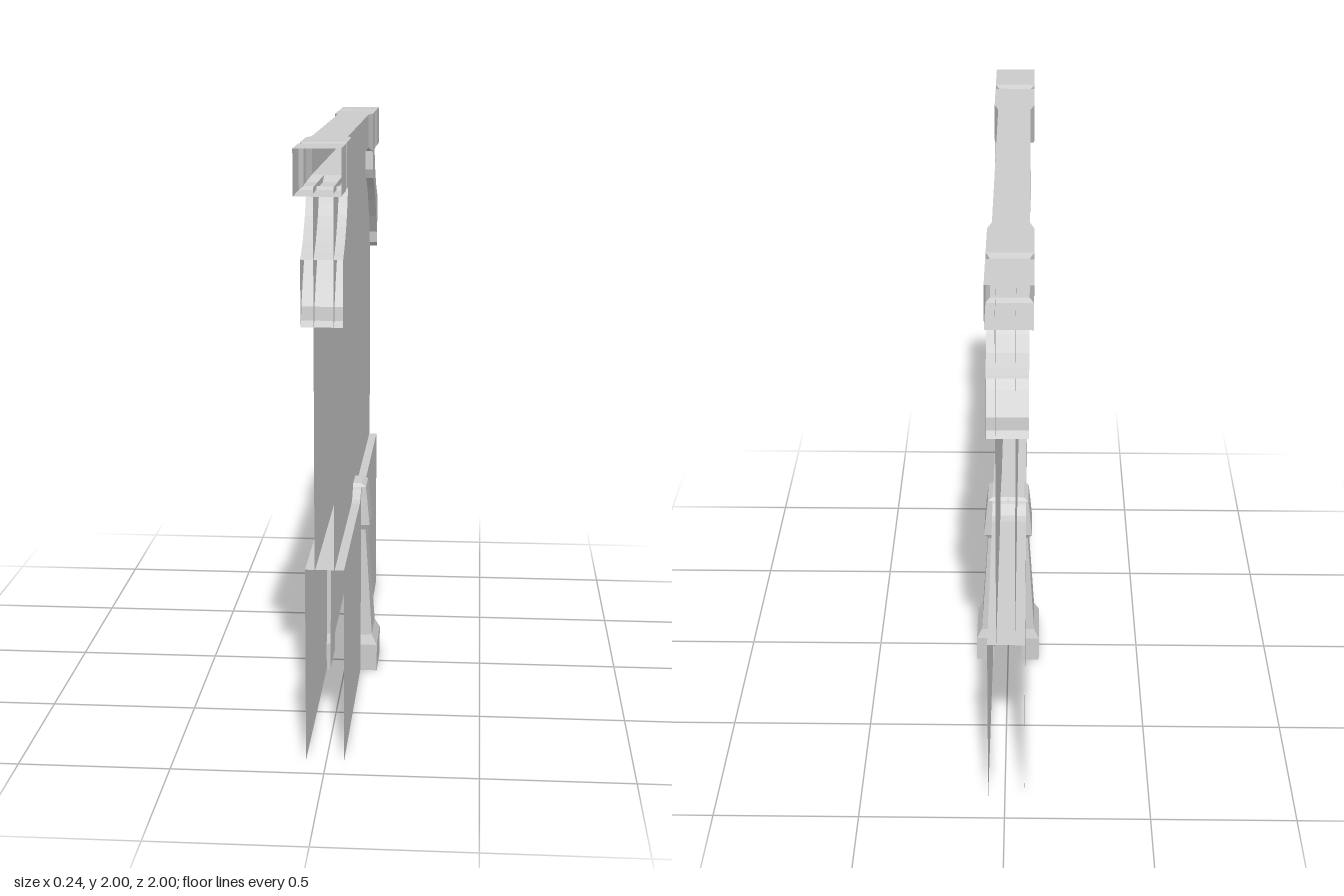
import * as THREE from 'three';

const material = new THREE.MeshStandardMaterial({ color: 0xcccccc, flatShading: true, side: THREE.DoubleSide });

// Skin joining successive cross-sections; each section is a list of [x, y, z]
function loft(name, rings, closed = true, capEnd = false) {
  const n = rings[0].length;
  const index = [];
  for (let r = 0; r < rings.length - 1; r++) {
    for (let i = 0; i < (closed ? n : n - 1); i++) {
      const j = (i + 1) % n;
      const a = r * n + i, b = r * n + j, c = a + n, d = b + n;
      index.push(a, b, d, a, d, c);
    }
  }
  if (capEnd) {
    const e = (rings.length - 1) * n;
    index.push(e, e + 1, e + 2, e, e + 2, e + 3);
  }
  const indexed = new THREE.BufferGeometry();
  indexed.setAttribute('position', new THREE.Float32BufferAttribute(rings.flat(2), 3));
  indexed.setIndex(index);
  const geometry = indexed.toNonIndexed();
  geometry.computeVertexNormals();
  const mesh = new THREE.Mesh(geometry, material);
  mesh.name = name;
  return mesh;
}

// Run a half profile from +z to -z
const mirrorZ = (half) => [...half, ...half.slice().reverse().map(([z, ...rest]) => [-z, ...rest])];

export function createModel() {
  const model = new THREE.Group();
  model.name = 'wallSection';

  // Hollow top beam: z, inset from sides, bottom, top
  const beam = mirrorZ([
    [1, 0, 1.857, 2], [0.815, 0, 1.857, 2], [0.797, 0.013, 1.867, 1.99], [0.787, 0.013, 1.867, 1.99],
    [0.765, 0, 1.857, 2], [0.58, 0, 1.857, 2], [0.53, 0.014, 1.876, 2],
  ]);
  model.add(loft('topBeam', beam.map(([z, d, y0, y1]) => [
    [-0.088 + d, y0, z], [0.058 - d, y0, z], [0.058 - d, y1, z], [-0.088 + d, y1, z],
  ])));

  // Thin upper wall faces
  for (const [name, x] of [['upperWallLeft', 0.028], ['upperWallRight', -0.034]]) {
    model.add(loft(name, [0.925, -0.925].map((z) => [[x, 0.655, z], [x, 1.876, z]]), false));
  }

  // Lower wall faces and the ledge on top, which rises over the buttresses
  const ledge = mirrorZ([[0.9, 0.655], [0.14, 0.655], [0.11, 0.662], [0.075, 0.69], [0.05, 0.7]]);
  const x0 = -0.067, x1 = 0.058;
  model.add(loft('lowerWallLeft', ledge.map(([z, y]) => [[x1, 0, z], [x1, y, z]]), false));
  model.add(loft('lowerWallRight', ledge.map(([z, y]) => [[x0, 0, z], [x0, y, z]]), false));
  model.add(loft('ledge', ledge.map(([z, y]) => [[x1, y, z], [x0, y, z]]), false));

  // Curved corner braces, open at the outer end: upper z, y, lower z, y
  const brace = [
    [0.713, 1.857, 0.6, 1.857], [0.722, 1.835, 0.596, 1.785], [0.737, 1.807, 0.612, 1.75],
    [0.76, 1.772, 0.675, 1.737], [0.79, 1.74, 0.73, 1.7], [0.836, 1.7, 0.785, 1.645],
    [0.88, 1.673, 0.84, 1.575], [0.905, 1.66, 0.888, 1.505], [0.917, 1.655, 0.893, 1.462],
    [0.917, 1.655, 0.917, 1.445],
  ];
  for (const [name, s] of [['frontBrace', 1], ['backBrace', -1]]) {
    model.add(loft(name, brace.map(([zu, yu, zl, yl]) => [
      [-0.075, yl, s * zl], [-0.075, yu, s * zu], [0.057, yu, s * zu], [0.057, yl, s * zl],
    ])));
  }

  // Tapered buttresses: y, outer x, inner x, half width
  const buttress = [
    [0, 0.119, 0.053, 0.1], [0.1, 0.119, 0.053, 0.1], [0.135, 0.1, 0.053, 0.088],
    [0.535, 0.074, 0.053, 0.065], [0.555, 0.089, 0.047, 0.075], [0.66, 0.079, 0.014, 0.065],
    [0.695, 0.075, 0.008, 0.062], [0.707, 0.058, 0, 0.053],
  ];
  for (const [name, s] of [['leftButtress', 1], ['rightButtress', -1]]) {
    model.add(loft(name, buttress.map(([y, xo, xi, w]) => [
      [s * xi, y, s * w], [s * xo, y, s * w], [s * xo, y, -s * w], [s * xi, y, -s * w],
    ]), true, true));
  }
  return model;
}
